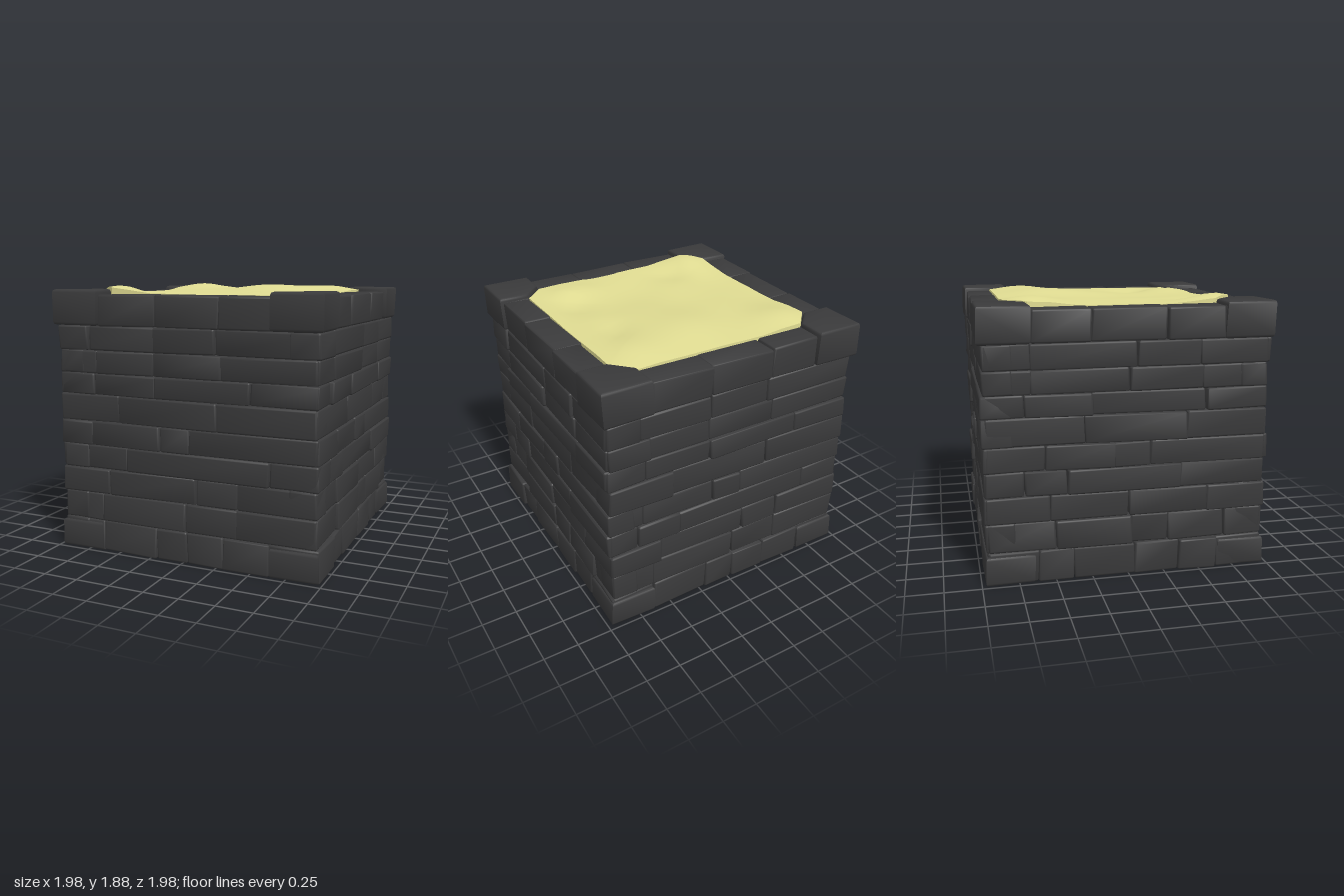
import * as THREE from 'three';
import { mergeVertices, mergeGeometries, toCreasedNormals } from 'three/addons/utils/BufferGeometryUtils.js';
import { RoundedBoxGeometry } from 'three/addons/geometries/RoundedBoxGeometry.js';

const stoneMat = new THREE.MeshStandardMaterial({ name: 'dark stone', color: 0x3a3a3b });
const fillMat = new THREE.MeshStandardMaterial({ name: 'pale yellow', color: 0xe0dc92 });

// course heights, and the joints of each course on the front/back (x) and sides (z)
const courses = [0, 0.22, 0.42, 0.6, 0.77, 0.94, 1.13, 1.28, 1.44, 1.61, 1.825];
const frontJoints = [
  [-0.63, -0.2, 0.03, 0.3, 0.63], [-0.63, 0.02, 0.4], [-0.57, 0.1, 0.4], [-0.75, -0.43, 0.63],
  [-0.7, -0.16, 0.06], [-0.48, 0.27], [-0.68, -0.2, 0.5], [-0.65, -0.2, 0.3], [-0.72, -0.2, 0.25],
  [-0.64, -0.2, 0.27, 0.64]];
const sideJoints = [
  [-0.62, -0.35, -0.04, 0.38, 0.62], [-0.68, -0.28, -0.02, 0.5], [-0.55, 0, 0.53], [-0.36, 0.42, 0.7],
  [-0.15, 0.1, 0.57], [-0.4, 0.3], [-0.53, 0.25, 0.7], [-0.5, 0, 0.65], [-0.48, -0.05, 0.65],
  [-0.64, -0.25, 0.25, 0.64]];

function createRandom(seed) {
  return () => {
    seed = (seed * 16807) % 2147483647;
    return seed / 2147483647;
  };
}

// hewn surface: a gentle wobble, then smooth normals with kept edges
function roughen(geometry, phase, amount) {
  const p = geometry.attributes.position;
  for (let i = 0; i < p.count; i++) {
    const x = p.getX(i), y = p.getY(i), z = p.getZ(i);
    p.setXYZ(i,
      x + amount * Math.sin(7 * y + 5 * z + phase),
      Math.max(0, y + amount * 0.4 * Math.sin(6 * x + 6 * z + phase)),
      z + amount * Math.sin(7 * y - 5 * x + phase * 1.7));
  }
  geometry.deleteAttribute('normal');
  geometry.deleteAttribute('uv');
  geometry.clearGroups();
  return toCreasedNormals(mergeVertices(geometry), 0.9);
}

function stone(x0, x1, y0, y1, z0, z1, phase) {
  const g = new RoundedBoxGeometry(x1 - x0, y1 - y0, z1 - z0, 2, 0.014);
  g.translate((x0 + x1) / 2, (y0 + y1) / 2, (z0 + z1) / 2);
  return roughen(g, phase, 0.007);
}

// one wall of coursed stones, along x or along z, on the side given by sign
function wall(name, joints, alongX, sign, seed) {
  const random = createRandom(seed);
  const parts = [];
  joints.forEach((row, r) => {
    const ends = [-0.955, ...row, 0.955];
    for (let i = 0; i < ends.length - 1; i++) {
      const a = ends[i], b = ends[i + 1];
      const outer = 0.952 + random() * 0.022 + (r === 0 ? 0.006 : 0);
      const d0 = sign > 0 ? 0.765 : -outer, d1 = sign > 0 ? outer : -0.765;
      const phase = random() * 6.28;
      parts.push(alongX
        ? stone(a, b, courses[r], courses[r + 1], d0, d1, phase)
        : stone(d0, d1, courses[r], courses[r + 1], a, b, phase));
    }
  });
  const mesh = new THREE.Mesh(mergeGeometries(parts), stoneMat);
  mesh.name = name;
  return mesh;
}

// large corner stone whose inner corner is cut off
function cornerStone(sx, sz, y0, y1, out, phase) {
  const e = 0.02;
  const points = [[out, out], [0.635, out], [0.635, 0.77], [0.76, 0.645], [out, 0.645]]
    .map(([x, z]) => new THREE.Vector2(
      sx * (x === out ? x - e : x + e), -sz * (z === out ? z - e : z + e)));
  const g = new THREE.ExtrudeGeometry(new THREE.Shape(points), {
    depth: y1 - y0 - 2 * e, bevelEnabled: true, bevelThickness: e, bevelSize: e, bevelSegments: 2 });
  g.rotateX(-Math.PI / 2).translate(0, y0 + e, 0);
  return roughen(g, phase, 0.006);
}

// mounds and hollows of the filling: x, z, height, radius
const mounds = [
  [-0.6, 0.68, 0.06, 0.2], [0.15, -0.42, 0.05, 0.4], [-0.6, -0.6, 0.05, 0.25],
  [0.6, -0.55, 0.03, 0.2], [0.45, 0.62, 0.03, 0.13], [0.55, 0.35, -0.03, 0.15],
  [0.5, -0.2, -0.03, 0.12], [-0.4, 0.55, -0.025, 0.15], [0.1, 0.25, -0.015, 0.3]];

function fillHeight(x, z) {
  let y = 1.825 + 0.005 * Math.sin(9 * x + 4 * z) * Math.cos(7 * z - 3 * x);
  for (const [mx, mz, h, r] of mounds) {
    y += h * Math.exp(-((x - mx) ** 2 + (z - mz) ** 2) / (r * r));
  }
  return y;
}

// square with cut corners, in rings from the centre, with a skirt tucked behind the stones
function fillingGeometry() {
  const outline = [[-0.63, 0.78], [0.63, 0.78], [0.765, 0.64], [0.765, -0.64],
    [0.63, -0.785], [-0.63, -0.785], [-0.765, -0.64], [-0.765, 0.64]];
  const steps = 8, rings = 14, around = outline.length * steps;
  const positions = [], index = [];
  for (let r = 0; r <= rings + 1; r++) {
    const t = Math.min(r / rings, 1);
    for (let i = 0; i < around; i++) {
      const k = Math.floor(i / steps), f = (i % steps) / steps;
      const a = outline[k], b = outline[(k + 1) % outline.length];
      const x = t * (a[0] + (b[0] - a[0]) * f), z = t * (a[1] + (b[1] - a[1]) * f);
      positions.push(x, r > rings ? 1.6 : fillHeight(x, z), z);
    }
  }
  for (let r = 0; r <= rings; r++) {
    for (let i = 0; i < around; i++) {
      const j = (i + 1) % around;
      const a = r * around + i, b = r * around + j, c = a + around, d = b + around;
      index.push(a, c, d);
      if (r > 0) index.push(a, d, b);
    }
  }
  const g = new THREE.BufferGeometry();
  g.setAttribute('position', new THREE.Float32BufferAttribute(positions, 3));
  g.setIndex(index);
  return toCreasedNormals(g, 0.7);
}

export function createModel() {
  const model = new THREE.Group();
  model.name = 'stoneBlock';

  model.add(
    wall('frontWall', frontJoints, true, 1, 11),
    wall('backWall', frontJoints.map((row) => row.map((v) => -v).reverse()), true, -1, 227),
    wall('leftWall', sideJoints, false, 1, 3301),
    wall('rightWall', sideJoints.map((row) => row.map((v) => -v).reverse()), false, -1, 40009));

  // corner stones at the rim and at the foot
  for (const sx of [-1, 1]) {
    for (const sz of [-1, 1]) {
      const top = new THREE.Mesh(cornerStone(sx, sz, 1.61, 1.856, 0.985, sx + 2 * sz), stoneMat);
      top.name = 'rimCornerStone';
      const foot = new THREE.Mesh(cornerStone(sx, sz, 0, 0.2, 0.972, 2 * sx + sz), stoneMat);
      foot.name = 'footCornerStone';
      model.add(top, foot);
    }
  }

  const filling = new THREE.Mesh(fillingGeometry(), fillMat);
  filling.name = 'filling';
  model.add(filling);

  // flat underside of the filling
  const base = new THREE.Mesh(new THREE.BoxGeometry(1.56, 0.04, 1.56), fillMat);
  base.name = 'fillingUnderside';
  base.position.y = 0.04;
  model.add(base);

  return model;
}
